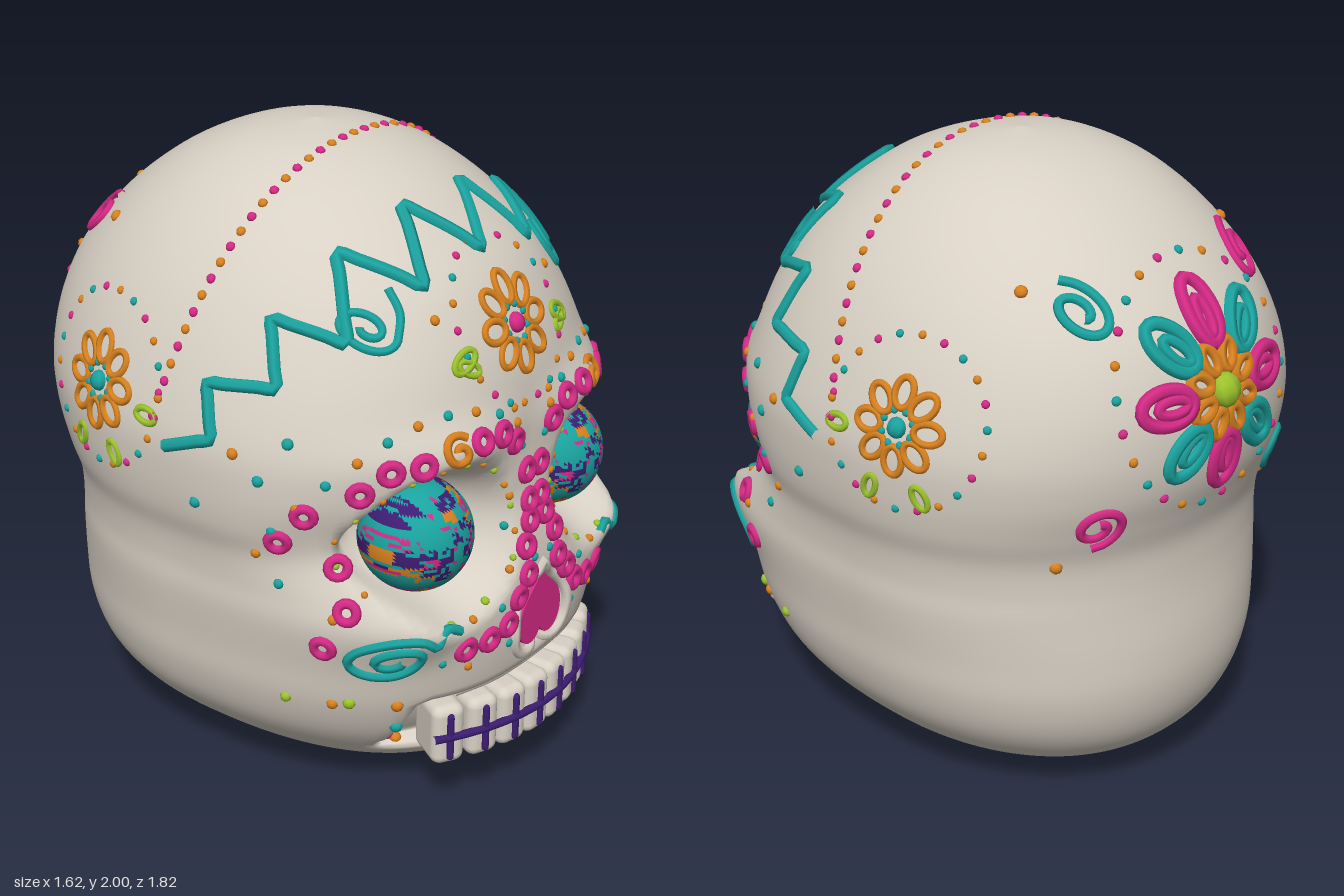
import * as THREE from 'three';
import { RoundedBoxGeometry } from 'three/addons/geometries/RoundedBoxGeometry.js';

const mat = (name, color) => Object.assign(new THREE.MeshStandardMaterial({ color }), { name });
const bone = mat('bone', 0xd8d0c4), teal = mat('teal', 0x1aa39f), pink = mat('pink', 0xd62a86);
const orange = mat('orange', 0xd9821f), lime = mat('lime', 0x9cc42c), purple = mat('purple', 0x3d1d72);
const V = (x, y, z) => new THREE.Vector3(x, y, z);
const gauss = (x, y, sx, sy) => Math.exp(-((x / sx) ** 2) - (y / sy) ** 2);
const step = THREE.MathUtils.smoothstep;

// Skull levels: height, half width, front z, back z, squareness of the front
const LEVELS = [
  [0, 0, -.05, -.05, 2], [0, .15, .2, -.22, 2], [.01, .28, .38, -.38, 2.1], [.05, .38, .53, -.54, 2.2],
  [.12, .5, .68, -.66, 2.3], [.2, .59, .73, -.74, 2.4], [.3, .66, .78, -.79, 2.5], [.42, .7, .82, -.815, 2.6],
  [.55, .715, .84, -.815, 2.7], [.7, .733, .84, -.8, 2.8], [.8, .733, .83, -.795, 2.8], [.9, .745, .81, -.8, 2.7],
  [1, .775, .79, -.83, 2.6], [1.12, .79, .78, -.87, 2.5], [1.25, .788, .765, -.885, 2.4], [1.4, .745, .745, -.87, 2.3],
  [1.55, .68, .69, -.81, 2.2], [1.68, .6, .61, -.71, 2.15], [1.8, .495, .48, -.58, 2.1], [1.9, .365, .33, -.43, 2],
  [1.97, .2, .14, -.25, 2], [2, 0, -.05, -.05, 2]];

// Relief of the face: sockets, temples, brows, cheekbones, nose and mouth
function relief(x, y) {
  const ax = Math.abs(x);
  let d = -.2 * (1 - step(Math.hypot(ax - .355, y - .945), .14, .27));
  d -= .07 * gauss(ax - .63, y - .95, .12, .13);
  d += .05 * gauss(ax - .35, y - 1.24, .24, .08);
  d += .07 * gauss(ax - .53, y - .71, .15, .1);
  d -= .04 * (1 - step(Math.hypot(x, y - .61), .09, .15));
  d -= .09 * (1 - step(ax, .4, .46)) * step(y, .19, .22) * (1 - step(y, .41, .44));
  return d;
}

function skullGeometry() {
  const A = new THREE.CatmullRomCurve3(LEVELS.map(l => V(l[0], l[1], l[2])), false, 'catmullrom', .5);
  const B = new THREE.CatmullRomCurve3(LEVELS.map(l => V(l[3], l[4], 0)), false, 'catmullrom', .5);
  const N = 128, M = 126, pos = [], idx = [];
  for (let j = 0; j <= M; j++) {
    const a = A.getPoint(j / M), b = B.getPoint(j / M);
    for (let i = 0; i < N; i++) {
      const t = i / N * Math.PI * 2, c = Math.cos(t), s = Math.sin(t), n = s > 0 ? b.y : 2.12;
      const r = (Math.abs(c) ** n + Math.abs(s) ** n) ** (-1 / n);
      const x = a.y * r * c, y = Math.max(0, a.x);
      let z = -.05 + r * s * (s > 0 ? a.z + .05 : -.05 - b.x);
      if (s > 0) z += relief(x, y) * step(s, .05, .5);
      pos.push(x, y, z);
      if (j < M) {
        const p = j * N + i, q = j * N + (i + 1) % N;
        idx.push(p, p + N, q, q, p + N, q + N);
      }
    }
  }
  const g = new THREE.BufferGeometry();
  g.setAttribute('position', new THREE.Float32BufferAttribute(pos, 3));
  g.setIndex(idx);
  g.computeVertexNormals();
  return g;
}

export function createModel() {
  const root = new THREE.Group();
  root.name = 'decoratedSkull';
  const add = (name, geo, m, parent = root) => {
    const o = new THREE.Mesh(geo, m);
    o.name = name;
    parent.add(o);
    return o;
  };
  const skull = add('skull', skullGeometry(), bone);

  // Projection of flat drawings onto the skull
  const caster = new THREE.Raycaster();
  const hit = (o, d) => {
    caster.set(o, d);
    const h = caster.intersectObject(skull)[0];
    return h && { p: h.point, n: h.face.normal };
  };
  const front = (u, v) => hit(V(u, v, 3), V(0, 0, -1));
  const back = (u, v) => hit(V(u, v, -3), V(0, 0, 1));
  const side = s => (u, v) => hit(V(3 * s, v, u), V(-s, 0, 0));
  const radial = (x, y, z) => {
    const c = V(0, 1.1, -.05), d = V(x, y, z).sub(c).normalize();
    return hit(c.clone().addScaledVector(d, 3), d.clone().negate());
  };

  const dotGeo = new THREE.SphereGeometry(1, 8, 6), ringGeo = new THREE.TorusGeometry(.029, .016, 7, 14);
  const seat = (o, h) => {
    o.position.copy(h.p);
    o.quaternion.setFromUnitVectors(V(0, 0, 1), h.n);
  };
  const dot = (h, m, r = .015) => {
    if (!h) return;
    const o = add('bead', dotGeo, m);
    seat(o, h);
    o.scale.set(r, r, r * .8);
  };
  const ring = h => { if (h) seat(add('pinkRing', ringGeo, pink), h); };
  const cord = (name, hits, m, r, closed = false, seg = 36) => {
    const pts = hits.filter(Boolean).map(h => h.p);
    if (pts.length > 2) add(name, new THREE.TubeGeometry(new THREE.CatmullRomCurve3(pts, closed), seg, r, 6, closed), m);
  };
  // Closed petal loop pointing along an angle
  const petal = (view, cu, cv, ang, r0, r1, w, m, rad) => {
    const hits = [];
    for (let k = 0; k < 10; k++) {
      const t = k / 10 * Math.PI * 2, l = r0 + (r1 - r0) * (1 - Math.cos(t)) / 2, e = w * Math.sin(t);
      hits.push(view(cu + l * Math.cos(ang) - e * Math.sin(ang), cv + l * Math.sin(ang) + e * Math.cos(ang)));
    }
    cord('petal', hits, m, rad, true, 24);
  };
  const spiral = (view, cu, cv, R, a0, turns, m, rad, tail = []) => {
    const hits = tail.map(t => view(...t));
    for (let k = 0; k <= 22; k++) {
      const t = k / 22, a = a0 + turns * t * Math.PI * 2, r = R * (1 - .8 * t);
      hits.push(view(cu + r * Math.cos(a), cv + r * Math.sin(a)));
    }
    cord('spiral', hits, m, rad, false, 56);
  };
  const circle = (view, cu, cv, r, n, mats, size, keep = () => true) => {
    for (let k = 0; k < n; k++) {
      const a = (k + .5) / n * Math.PI * 2, u = cu + r * Math.cos(a), v = cv + r * Math.sin(a);
      if (keep(u, v)) dot(view(u, v), mats[k % mats.length], size);
    }
  };
  const flower = (view, cu, cv, centre, beads) => {
    for (let k = 0; k < 8; k++) petal(view, cu, cv, k * Math.PI / 4, .055, .142, .03, orange, .012);
    circle(view, cu, cv, .052, 8, [beads], .013);
    dot(view(cu, cv), centre, .032);
  };

  // Mosaic eyes: faces sorted into colours by a cell pattern
  const hash = (a, b) => { const s = Math.sin(a * 127.1 + b * 311.7) * 43758.5453; return s - Math.floor(s); };
  const eyeGeo = new THREE.SphereGeometry(.175, 80, 48), src = eyeGeo.index.array, ep = eyeGeo.attributes.position;
  const tiles = [[], [], [], []];
  for (let f = 0; f < src.length; f += 3) {
    const ids = [src[f], src[f + 1], src[f + 2]];
    const mid = get => ids.reduce((t, i) => t + get(i), 0) / 3;
    const x = mid(i => ep.getX(i)), y = mid(i => ep.getY(i));
    const big = hash(Math.floor(x / .042), Math.floor(y / .03)), fine = hash(Math.floor(x / .013) + 9, Math.floor(y / .011));
    const c = big < .3 ? 1 : big < .42 ? 2 : big < .5 ? 3 : 0;
    tiles[fine < .72 ? c : fine > .96 ? 2 : 0].push(...ids);
  }
  eyeGeo.clearGroups();
  let start = 0;
  tiles.forEach((t, i) => { eyeGeo.addGroup(start, t.length, i); start += t.length; });
  eyeGeo.setIndex(tiles.flat());
  for (const s of [1, -1]) add('eye', eyeGeo, [teal, purple, pink, orange]).position.set(s * .355, .945, .61);

  // Nose: upside-down heart with a raised rim
  const heart = new THREE.Shape();
  heart.moveTo(0, .13);
  heart.bezierCurveTo(.04, .07, .11, .05, .11, -.03);
  heart.bezierCurveTo(.11, -.12, .02, -.13, 0, -.07);
  heart.bezierCurveTo(-.02, -.13, -.11, -.12, -.11, -.03);
  heart.bezierCurveTo(-.11, .05, -.04, .07, 0, .13);
  add('noseHeart', new THREE.ExtrudeGeometry(heart, { depth: .03, bevelEnabled: false }), pink).position.set(0, .61, .805);
  const rim = heart.getPoints(8).slice(0, -1).map(p => front(p.x * 1.3, .61 + p.y * 1.22));
  cord('noseRim', rim, bone, .018, true, 60);

  // Teeth with stitched lines
  const biteZ = x => .885 - .75 * x * x;
  const toothGeo = new RoundedBoxGeometry(.108, .205, .16, 3, .032);
  const stitchGeo = new THREE.CapsuleGeometry(.012, .14, 3, 8);
  const bite = [];
  for (let k = 0; k < 8; k++) {
    const x = (k - 3.5) * .109, tilt = Math.atan(1.5 * x);
    const g = new THREE.Group();
    g.name = 'tooth';
    g.position.set(x, .305, biteZ(x));
    g.rotation.y = tilt;
    add('toothBody', toothGeo, bone, g).position.z = -.08;
    add('toothStitch', stitchGeo, purple, g);
    root.add(g);
  }
  for (let k = 0; k <= 12; k++) { const x = (k - 6) * .0715; bite.push(V(x, .305, biteZ(x) + .002)); }
  add('mouthStitch', new THREE.TubeGeometry(new THREE.CatmullRomCurve3(bite), 40, .013, 8), purple);
  const lip = [-.34, -.2, -.07, .07, .2, .34].map(x => front(x, .435));
  cord('upperLip', lip, bone, .016);

  // Zigzag band over the forehead
  const zig = [[0, 1.73, .57], [.145, 1.87, .39], [.27, 1.7, .57], [.4, 1.79, .35], [.51, 1.57, .47], [.615, 1.64, .275],
    [.67, 1.45, .34], [.75, 1.44, .14], [.77, 1.28, .18], [.8, 1.22, .02]];
  const band = [...zig.slice(1).reverse().map(([x, y, z]) => [-x, y, z]), ...zig], zigHits = [];
  for (let k = 0; k < band.length - 1; k++) for (let j = 0; j < 4; j++)
    zigHits.push(radial(...band[k].map((c, i) => c + (band[k + 1][i] - c) * j / 4)));
  zigHits.push(radial(...zig[9]));
  cord('foreheadBand', zigHits, teal, .021, false, 220);

  // Bead line over the crown
  for (let k = 0; k <= 42; k++) {
    const a = THREE.MathUtils.lerp(.15, Math.PI - .15, k / 42), s = Math.sin(a);
    dot(radial(.79 * Math.cos(a), 1.17 + .83 * s, -.06 + .16 * s), k % 2 ? orange : pink, .015);
  }

  // Forehead flower and its beads
  flower(front, 0, 1.525, pink, teal);
  circle(front, 0, 1.525, .23, 20, [pink, teal, orange], .013);

  // Face decorations, mirrored
  const rings = [[.17, 1.25], [.265, 1.26], [.455, 1.23], [.53, 1.22], [.59, 1.155], [.1, 1.2], [.035, 1.08], [.03, .98],
    [.04, .92], [.075, .85], [.08, .76], [.13, .7], [.18, .63], [.26, .61], [.35, .61], [.63, .78], [.66, .65]];
  const sideRings = [[.45, 1.08], [.37, .98], [.515, .9]];
  const chin = [[.19, .14, teal], [.3, .17, lime], [.37, .21, orange], [.43, .26, pink], [.47, .33, teal], [.5, .43, orange], [.59, .44, lime]];
  const extra = [[.09, 1.3, orange], [.06, 1.17, teal], [.11, 1.02, orange], [.12, .92, teal], [.04, .8, teal], [.15, .8, orange],
    [.21, .7, teal], [.25, .73, lime], [.32, .7, orange], [.4, .71, lime], [.17, .56, teal], [.33, .54, orange], [.42, .58, teal]];
  dot(front(0, .12), orange, .022);
  dot(front(0, .76), orange, .014);
  for (const s of [1, -1]) {
    const f = (u, v) => front(s * u, v), sd = side(s);
    rings.forEach(r => ring(f(...r)));
    sideRings.forEach(r => ring(sd(...r)));
    chin.forEach(([x, y, m]) => dot(f(x, y), m, .02));
    extra.forEach(([x, y, m]) => dot(f(x, y), m, .014));
    circle(f, .355, .945, .255, 20, [orange, lime], .011, (u, v) => v > .8);
    circle(f, .34, .97, .38, 26, [teal, orange], .016, (u, v) => u > .08 && v > .72);
    spiral(f, .35, 1.25, .05, Math.PI * .75, -1.3, orange, .014);
    spiral(f, .55, .62, .09, Math.PI * .8, -1.9, teal, .016, [[.38, .69], [.43, .71]]);
    spiral(f, .45, 1.6, .065, Math.PI * 1.1, 1.5, teal, .014, [[.35, 1.69], [.36, 1.63]]);
    petal(f, .2, 1.5, -.5, 0, .09, .022, lime, .011);
    petal(f, .2, 1.44, .5, 0, .07, .018, lime, .01);
    dot(f(.28, 1.6), orange, .016);

    // Temple flower
    flower(sd, -.28, 1.325, teal, teal);
    circle(sd, -.28, 1.325, .255, 22, [pink, teal, orange], .013);
    [[-.21, 1.16, -1.2], [-.35, 1.16, -1.94], [-.1, 1.29, -.1]].forEach(([z, y, a]) => petal(sd, z, y, a, 0, .075, .02, lime, .011));
    [[.33, 1.18, teal], [.12, 1.06, teal], [.25, 1.25, orange], [.4, 1.3, teal], [.5, .43, orange], [.36, .425, lime]]
      .forEach(([z, y, m]) => dot(sd(z, y), m, .018));

    // Swirls on the back
    spiral(back, s * .35, 1.66, .075, Math.PI / 2, s * 1.5, s > 0 ? teal : pink, .016);
    spiral(back, s * .4, 1.04, .075, -Math.PI / 2, -s * 1.5, s > 0 ? pink : teal, .016);
    dot(back(s * .44, 1.71), orange, .02);
    dot(back(s * .47, .9), orange, .02);
  }

  // Large flower on the back
  for (let k = 0; k < 8; k++) {
    const a = Math.PI / 2 + k * Math.PI / 4, m = k % 2 ? teal : pink;
    petal(back, 0, 1.39, a, .13, .3, .052, m, .022);
    petal(back, 0, 1.39, a, .15, .25, .022, m, .018);
    petal(back, 0, 1.39, a + Math.PI / 8, .06, .14, .025, orange, .018);
  }
  circle(back, 0, 1.39, .36, 24, [teal, orange, pink], .015);
  dot(back(0, 1.39), lime, .055);
  return root;
}
